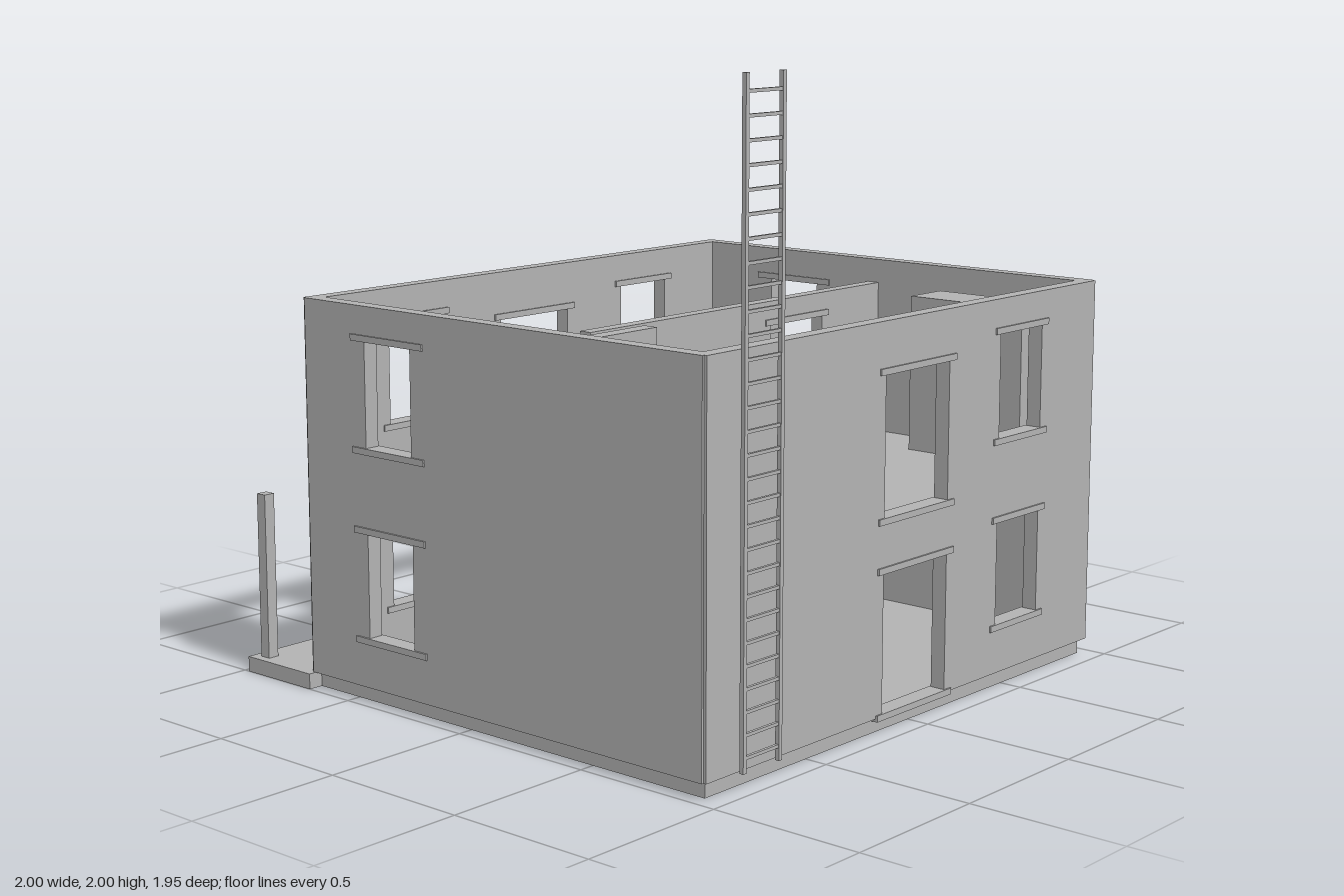
import * as THREE from 'three';

const plaster = new THREE.MeshStandardMaterial({ color: 0xb2b2b2 });
plaster.name = 'plainGrey';

const FLOORS = [0.05, 0.65];      // walking level of each storey

function add(parent, name, geometry) {
  const mesh = new THREE.Mesh(geometry, plaster);
  mesh.name = name;
  parent.add(mesh);
  return mesh;
}

// Box given by its limits on each axis
function box(parent, name, x0, x1, y0, y1, z0, z1) {
  const g = new THREE.BoxGeometry(x1 - x0, y1 - y0, z1 - z0);
  g.translate((x0 + x1) / 2, (y0 + y1) / 2, (z0 + z1) / 2);
  return add(parent, name, g);
}

function rect(Type, a0, a1, b0, b1) {
  const p = new Type();
  p.moveTo(a0, b0);
  p.lineTo(a1, b0);
  p.lineTo(a1, b1);
  p.lineTo(a0, b1);
  p.closePath();
  return p;
}

// Pierced wall along x, with a sill and a lintel at every opening [a0, a1, b0, b1]
function wall(parent, name, a0, a1, y0, y1, openings, jambs = false, t = 0.05) {
  const group = new THREE.Group();
  group.name = name;
  const shape = rect(THREE.Shape, a0, a1, y0, y1);
  for (const o of openings) shape.holes.push(rect(THREE.Path, ...o));
  const g = new THREE.ExtrudeGeometry(shape, { depth: t, bevelEnabled: false });
  g.translate(0, 0, -t / 2);
  add(group, name + 'Panel', g);
  const d = t / 2 + 0.006;
  for (const [l, r, b, top] of openings) {
    box(group, 'lintel', l - 0.03, r + 0.03, top, top + 0.02, -d, d);
    box(group, 'sill', l - 0.03, r + 0.03, b - 0.02, b, -d, d);
    if (jambs) {
      box(group, 'jamb', l, l + 0.027, b, top, -t / 2, t / 2);
      box(group, 'jamb', r - 0.027, r, b, top, -t / 2, t / 2);
    }
  }
  parent.add(group);
  return group;
}

// Openings repeated on both storeys
const doors = (l, r) => FLOORS.map(f => [l, r, f + 0.01, f + 0.44]);
const windows = (l, r) => FLOORS.map(f => [l, r, f + 0.16, f + 0.49]);

function tableOrBench(parent, name, x0, x1, z0, z1, floor, height) {
  const group = new THREE.Group();
  group.name = name;
  const top = floor + height, s = 0.016;
  box(group, name + 'Top', x0, x1, top - 0.018, top, z0, z1);
  for (const x of [x0 + 0.005, x1 - 0.005 - s])
    for (const z of [z0 + 0.005, z1 - 0.005 - s])
      box(group, name + 'Leg', x, x + s, floor, top - 0.018, z, z + s);
  parent.add(group);
}

// Solid flight of twelve steps rising toward the front
function stairs(parent, floor) {
  const shape = new THREE.Shape();
  const n = 12, run = 0.05, rise = 0.048;
  shape.moveTo(-0.18, floor);
  for (let i = 0; i < n; i++) {
    shape.lineTo(-0.18 + i * run, floor + (i + 1) * rise);
    shape.lineTo(-0.18 + (i + 1) * run, floor + (i + 1) * rise);
  }
  shape.lineTo(0.42, floor);
  shape.closePath();
  const g = new THREE.ExtrudeGeometry(shape, { depth: 0.3, bevelEnabled: false });
  g.rotateY(-Math.PI / 2);
  g.translate(-0.58, 0, 0);
  add(parent, 'stairs', g);
}

export function createModel() {
  const house = new THREE.Group();
  house.name = 'house';

  // Foundation and rear porch
  box(house, 'foundation', -0.95, 0.95, 0, 0.05, -0.68, 0.925);
  box(house, 'porchSlab', -1, 1, 0, 0.05, -0.98, -0.68);
  for (const x of [-0.952, 0.952])
    box(house, 'porchPost', x - 0.019, x + 0.019, 0.05, 0.59, -0.95, -0.912);

  // Outer walls
  wall(house, 'frontWall', -0.968, 0.968, 0.05, 1.25,
    [...doors(-0.16, 0.16), ...windows(0.432, 0.662)]).position.z = 0.92;
  wall(house, 'backWall', -0.968, 0.968, 0.05, 1.25,
    [...windows(-0.662, -0.432), ...doors(-0.16, 0.16), ...windows(0.432, 0.662)]).position.z = -0.675;
  for (const [name, x, z0, z1] of [['leftWall', 0.95, -0.4, -0.14], ['rightWall', -0.95, -0.445, -0.19]]) {
    const w = wall(house, name, -0.69, 0.935, 0.05, 1.25, windows(z0, z1), true);
    w.rotation.y = -Math.PI / 2;
    w.position.x = x;
  }

  // Upper floor with a stairwell
  const floorShape = rect(THREE.Shape, -0.93, 0.93, -0.655, 0.9);
  floorShape.holes.push(rect(THREE.Path, -0.925, -0.55, -0.23, 0.475));
  const floorGeo = new THREE.ExtrudeGeometry(floorShape, { depth: 0.05, bevelEnabled: false });
  floorGeo.rotateX(Math.PI / 2);
  floorGeo.translate(0, 0.65, 0);
  add(house, 'upperFloor', floorGeo);

  // Partitions and stairs on both storeys
  FLOORS.forEach((f, i) => {
    const top = i ? 1.17 : 0.6;
    wall(house, 'partition', -0.525, 0.925, f, top, [doors(0.34, 0.612)[i]], false, 0.045).position.z = 0.08;
    stairs(house, f);
  });

  // Furniture
  box(house, 'wardrobe', 0.735, 0.9, 0.65, 1.17, 0.38, 0.82);
  box(house, 'cupboard', 0.735, 0.9, 0.05, 0.57, -0.56, -0.12);
  tableOrBench(house, 'table', 0.51, 0.785, -0.47, -0.25, 0.65, 0.14);
  tableOrBench(house, 'bench', 0.55, 0.75, -0.595, -0.5, 0.65, 0.08);
  tableOrBench(house, 'bench', 0.55, 0.75, -0.22, -0.12, 0.65, 0.08);

  // Ladder against the front
  const ladder = new THREE.Group();
  ladder.name = 'ladder';
  for (const x of [-0.832, -0.674])
    box(ladder, 'ladderRail', x - 0.007, x + 0.007, 0.05, 2, 0.957, 0.971);
  for (let i = 0; i < 29; i++) {
    const y = 1.95 - i * 0.0663;
    box(ladder, 'ladderRung', -0.83, -0.676, y - 0.005, y + 0.005, 0.959, 0.969);
  }
  house.add(ladder);

  return house;
}
